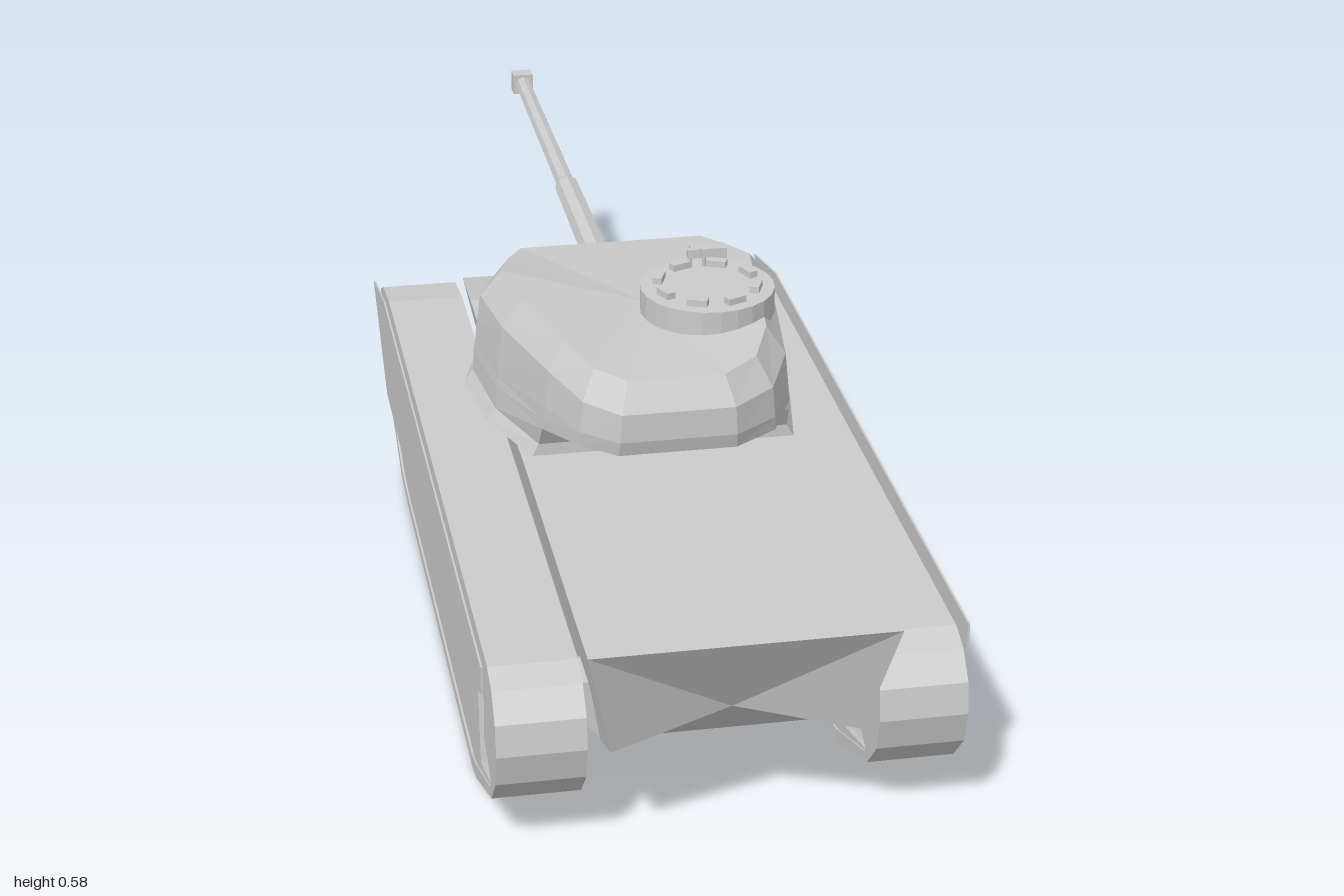
import * as THREE from 'three';

const mat = new THREE.MeshStandardMaterial({ color: 0xcccccc, flatShading: true, side: THREE.DoubleSide });

function add(parent, name, geo, x = 0, y = 0, z = 0) {
  const m = new THREE.Mesh(geo, mat);
  m.name = name;
  m.position.set(x, y, z);
  parent.add(m);
  return m;
}

// Skin a list of equal-length rings, cap both ends and face outwards
function loft(rings) {
  const tris = [];
  const n = rings[0].length;
  for (let i = 0; i < rings.length - 1; i++) {
    for (let j = 0; j < n; j++) {
      const k = (j + 1) % n, a = rings[i], b = rings[i + 1];
      tris.push([a[j], a[k], b[k]], [a[j], b[k], b[j]]);
    }
  }
  const cap = (ring, flip) => {
    const c = [0, 1, 2].map(d => ring.reduce((s, p) => s + p[d], 0) / n);
    ring.forEach((p, j) => {
      const q = ring[(j + 1) % n];
      tris.push(flip ? [c, q, p] : [c, p, q]);
    });
  };
  cap(rings[0], true);
  cap(rings[rings.length - 1], false);
  const V = p => new THREE.Vector3(...p);
  const volume = tris.reduce((s, [a, b, c]) => s + V(a).dot(V(b).cross(V(c))), 0);
  if (volume < 0) tris.forEach(t => t.reverse());
  const g = new THREE.BufferGeometry();
  g.setAttribute('position', new THREE.Float32BufferAttribute(tris.flat(2), 3));
  g.computeVertexNormals();
  return g;
}

// Upright plate from a (z, y) outline, spanning x0..x1
function plate(outline, holes, xa, xb) {
  const vec = l => l.map(p => new THREE.Vector2(p[0], p[1]));
  const shape = new THREE.Shape(vec(outline));
  holes.forEach(h => shape.holes.push(new THREE.Path(vec(h))));
  const g = new THREE.ExtrudeGeometry(shape, { depth: Math.abs(xb - xa), bevelEnabled: false });
  g.rotateY(-Math.PI / 2);
  g.translate(Math.max(xa, xb), 0, 0);
  return g;
}

const trackLine = [[0.938, 0.18], [0.93, 0.225], [0.9, 0.26], [0.86, 0.275], [-0.34, 0.275], [-0.43, 0.262],
  [-0.475, 0.24], [-0.497, 0.2], [-0.49, 0.16], [-0.46, 0.12], [-0.42, 0.1], [-0.22, 0.01], [-0.14, 0],
  [0.68, 0], [0.72, 0.01], [0.88, 0.08], [0.925, 0.13]];
const trackInner = trackLine.map(([z, y]) => [0.22 + (z - 0.22) * 0.975, 0.1375 + (y - 0.1375) * 0.87]);

function buildTrack(side) {
  const g = new THREE.Group();
  g.name = side > 0 ? 'leftTrack' : 'rightTrack';
  add(g, 'trackBand', plate(trackLine, [trackInner], side * 0.2, side * 0.323));
  // outer wall with a small opening near each end
  const endGap = [[0.8, 0.185], [0.73, 0.185], [0.75, 0.055], [0.86, 0.088], [0.79, 0.12]];
  const noseGap = [[-0.305, 0.062], [-0.305, 0.107], [-0.4, 0.107]];
  add(g, 'outerWall', plate(trackInner, [endGap, noseGap], side * 0.312, side * 0.32));
  // inner wall leaves the nose end of the loop open
  const noseOpen = [[-0.305, 0.062], [-0.305, 0.25], [-0.42, 0.24], [-0.465, 0.2], [-0.455, 0.15], [-0.41, 0.115]];
  add(g, 'innerWall', plate(trackInner, [endGap, noseOpen], side * 0.203, side * 0.211));
  // thin side skirt
  const skirt = [[0.885, 0.29], [-0.31, 0.29], [-0.475, 0.255], [-0.3, 0.123], [0.435, 0.123], [0.885, 0.247]];
  add(g, 'sideSkirt', plate(skirt, [], side * 0.332, side * 0.335));
  return g;
}

function buildHull() {
  const g = new THREE.Group();
  g.name = 'hull';
  // each section lists deck, chine and belly corners as x, y, z
  const section = pts => [...pts, ...pts.slice().reverse().map(([x, y, z]) => [-x, y, z])];
  add(g, 'hullBody', loft([
    section([[0.21, 0.357, 1], [0.172, 0.18, 0.95], [0.16, 0.107, 0.8]]),
    section([[0.21, 0.357, 0.42], [0.172, 0.18, 0.42], [0.16, 0.107, 0.42]]),
    section([[0.203, 0.33, 0.42], [0.172, 0.18, 0.42], [0.16, 0.107, 0.42]]),
    section([[0.203, 0.33, -0.2], [0.172, 0.18, -0.2], [0.16, 0.107, -0.22]]),
    section([[0.185, 0.262, -0.445], [0.175, 0.24, -0.435], [0.16, 0.107, -0.29]]),
  ]));
  // tapered brackets beside the belly
  for (const s of [1, -1]) {
    const ring = z => [[s * 0.197, 0.2, z], [s * 0.187, 0.14, z], [s * 0.16, 0.11, z], [s * 0.15, 0.2, z]];
    add(g, 'finalDrive', loft([ring(0.73), ring(0.8)]));
  }
  for (const x of [0.05, 0.105]) add(g, 'driverPeriscope', new THREE.BoxGeometry(0.03, 0.022, 0.012), x, 0.337, -0.205);
  return g;
}

function buildTurret() {
  const g = new THREE.Group();
  g.name = 'turret';
  const plan = [[-0.17, -0.06], [-0.205, 0.01], [-0.232, 0.1], [-0.217, 0.24], [-0.172, 0.4], [-0.135, 0.49],
    [-0.085, 0.535], [0.085, 0.535], [0.15, 0.49], [0.19, 0.4], [0.212, 0.24], [0.232, 0.1], [0.205, 0.01], [0.175, -0.06]];
  // ring of the plan: scaled sideways, cut off at zMax, height may follow z
  const ring = (y, sx, zMax = 1, sz = 1) => plan.map(([x, z]) => {
    const zz = Math.min(0.2 + (z - 0.2) * sz, zMax);
    return [x * sx, typeof y === 'function' ? y(zz) : y, zz];
  });
  const roof = z => 0.522 - Math.max(0, 0.14 - z) * 0.2 - Math.max(0, z - 0.4) * 0.1;
  add(g, 'turretShell', loft([
    ring(0.33, 1.09, 0.37), ring(0.35, 1.03, 0.37), ring(0.385, 1.02, 0.39), ring(0.402, 1.01, 1, 0.98),
    ring(0.425, 1), ring(z => roof(z) - 0.04, 0.97), ring(roof, 0.83, 1, 0.93),
  ]));
  add(g, 'turretRing', new THREE.CylinderGeometry(0.19, 0.19, 0.02, 24), 0, 0.335, 0.18);
  add(g, 'roofHatch', new THREE.BoxGeometry(0.055, 0.025, 0.02), 0.125, 0.525, 0.12);

  // commander's cupola with a circle of periscopes
  const cupola = new THREE.Group();
  cupola.name = 'cupola';
  cupola.position.set(0.09, 0, 0.285);
  add(cupola, 'cupolaDrum', new THREE.CylinderGeometry(0.1, 0.1, 0.04, 24), 0, 0.528, 0);
  for (let i = 0; i < 8; i++) {
    const a = (i + 0.5) * Math.PI / 4;
    add(cupola, 'periscope', new THREE.BoxGeometry(0.03, 0.012, 0.014), Math.sin(a) * 0.073, 0.552, Math.cos(a) * 0.073).rotation.y = a;
  }
  for (const x of [-0.012, 0.009]) {
    add(cupola, 'sightPost', new THREE.CylinderGeometry(0.003, 0.003, 0.022, 6), x, 0.557, -0.07);
    add(cupola, 'sightHead', new THREE.BoxGeometry(0.009, 0.013, 0.009), x, 0.57, -0.07);
  }
  g.add(cupola);
  return g;
}

function buildGun() {
  const g = new THREE.Group();
  g.name = 'gun';
  g.position.y = 0.41;
  // rolled mantlet between two cheeks
  add(g, 'mantlet', new THREE.CylinderGeometry(0.042, 0.042, 0.23, 12).rotateZ(Math.PI / 2), 0, 0, -0.075);
  for (const x of [-0.122, 0.122]) add(g, 'mantletCheek', new THREE.BoxGeometry(0.015, 0.09, 0.06), x, 0, -0.075);
  add(g, 'mantletHood', new THREE.BoxGeometry(0.25, 0.012, 0.045), 0, 0.046, -0.07);
  // collar, barrel and muzzle, each as rear radius, front radius, rear z, front z
  const tubes = [['collar', 0.04, 0.026, -0.09, -0.135], ['barrelSleeve', 0.023, 0.021, -0.13, -0.46],
    ['barrelStep', 0.021, 0.016, -0.46, -0.48], ['barrel', 0.016, 0.014, -0.48, -0.975]];
  for (const [name, r0, r1, z0, z1] of tubes) {
    add(g, name, new THREE.CylinderGeometry(r0, r1, z0 - z1, 8).rotateX(Math.PI / 2), 0, 0, (z0 + z1) / 2);
  }
  add(g, 'muzzle', new THREE.BoxGeometry(0.036, 0.036, 0.028), 0, 0, -0.986);
  return g;
}

export function createModel() {
  const model = new THREE.Group();
  model.name = 'tank';
  model.add(buildHull(), buildTrack(1), buildTrack(-1), buildTurret(), buildGun());
  return model;
}
